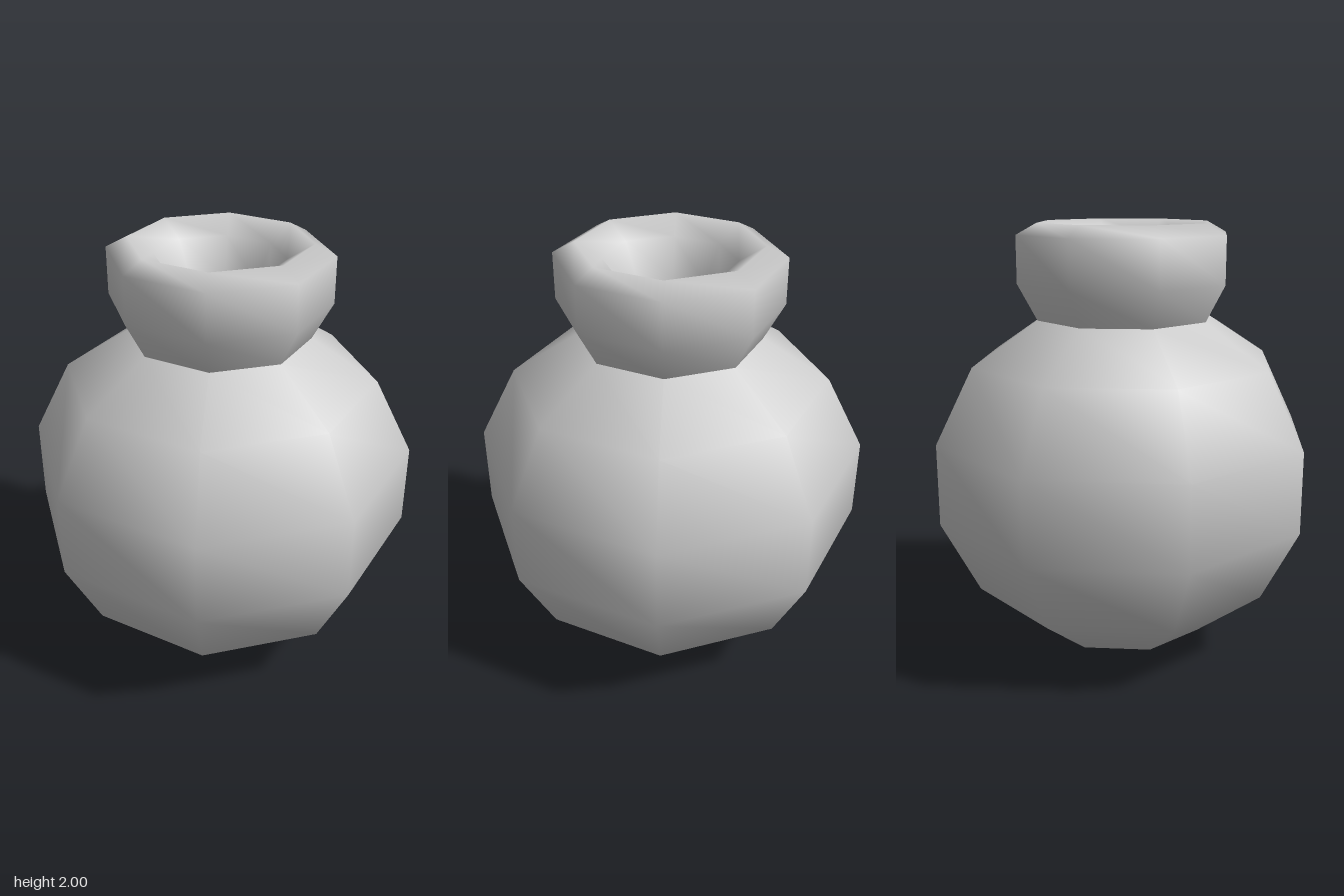
import * as THREE from 'three';

const SIDES = 8;
const DEPTH_SCALE = 0.982; // slightly narrower front to back

const material = new THREE.MeshStandardMaterial({ color: 0xcccccc, side: THREE.DoubleSide });

// Eight-sided turned part from [radius, height] pairs
function turned(name, profile) {
  const points = profile.map(([r, y]) => new THREE.Vector2(r, y));
  const mesh = new THREE.Mesh(new THREE.LatheGeometry(points, SIDES), material);
  mesh.name = name;
  mesh.scale.z = DEPTH_SCALE;
  return mesh;
}

export function createModel() {
  const group = new THREE.Group();
  group.name = 'roundFlask';

  // Round belly, from the bottom point up to the neck
  group.add(turned('body', [
    [0, 0], [0.4, 0.09], [0.715, 0.325], [0.89, 0.665],
    [0.89, 1.04], [0.715, 1.38], [0.41, 1.575],
  ]));

  // Flared lip, rolling over the rim into a hollow mouth
  group.add(turned('lip', [
    [0.41, 1.575], [0.5, 1.74], [0.5, 1.95], [0.405, 2],
    [0.29, 1.93], [0.21, 1.76], [0.17, 1.62], [0, 1.56],
  ]));

  return group;
}
